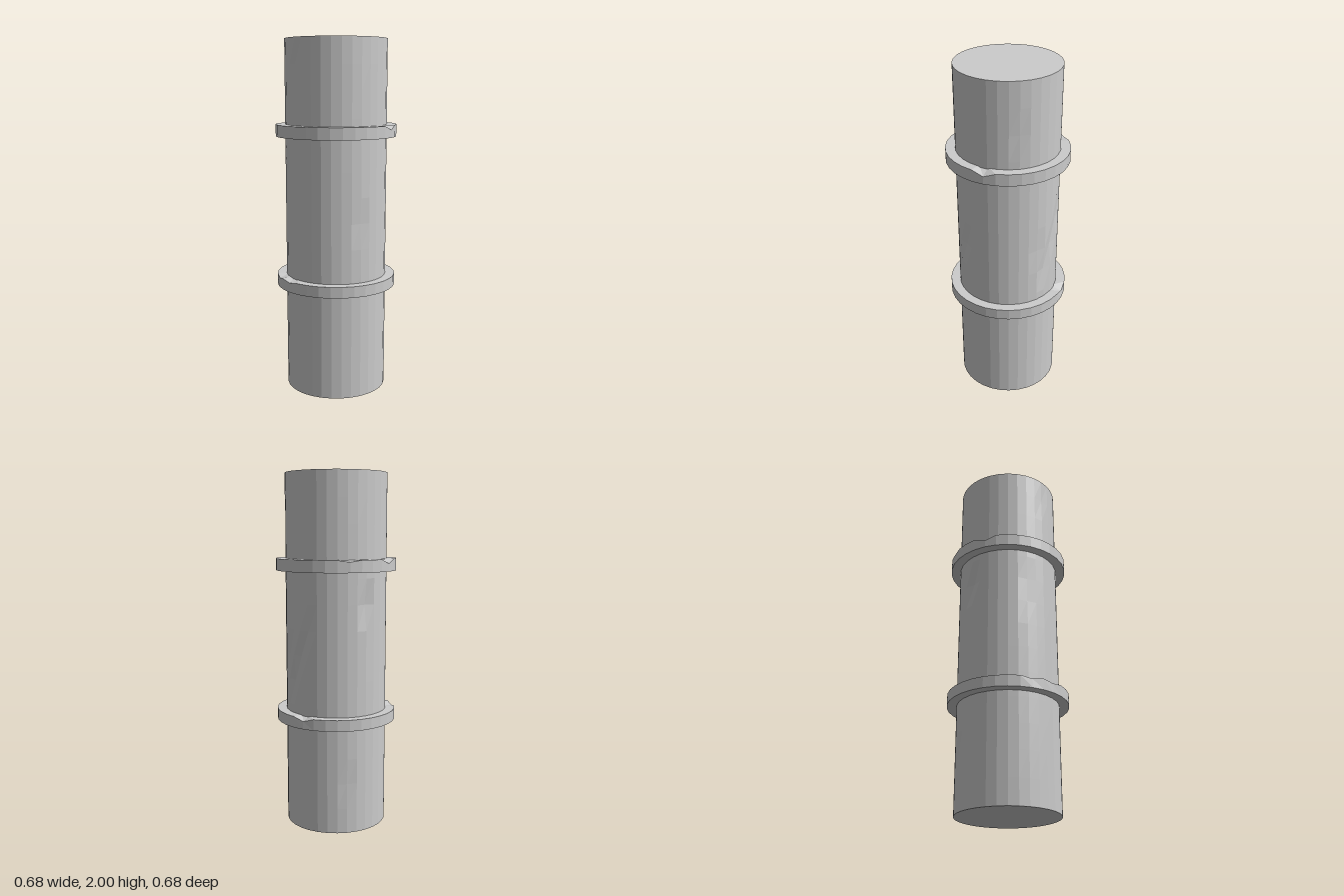
import * as THREE from 'three';

const SIDES = 32;
const RADIUS = 0.287;
const RING_RADIUS = 0.341;
const STEP = (Math.PI * 2) / SIDES;
const material = new THREE.MeshStandardMaterial({ color: 0xcccccc, flatShading: true, side: THREE.DoubleSide });

// Moves every vertex on side line j at height y inward and down; j = 0 faces front, counting towards +x.
function dent(geometry, radius, j, y, inward, down = 0) {
  const pos = geometry.attributes.position;
  const x = Math.sin(j * STEP) * radius;
  const z = Math.cos(j * STEP) * radius;
  const k = 1 - inward / radius;
  for (let i = 0; i < pos.count; i++) {
    const d = Math.hypot(pos.getX(i) - x, pos.getY(i) - y, pos.getZ(i) - z);
    if (d < 0.005) pos.setXYZ(i, x * k, y - down, z * k);
  }
}

function addMesh(group, name, geometry) {
  geometry.computeVertexNormals();
  const mesh = new THREE.Mesh(geometry, material);
  mesh.name = name;
  group.add(mesh);
}

// Flat-sided collar with chips along its upper outer edge
function makeRing(bottom, top, chips) {
  const profile = [[0.27, bottom], [RING_RADIUS, bottom], [RING_RADIUS, top], [0.27, top]];
  const geometry = new THREE.LatheGeometry(profile.map(([r, y]) => new THREE.Vector2(r, y)), SIDES);
  for (const [j, inward, down] of chips) dent(geometry, RING_RADIUS, j, top, inward, down);
  return geometry;
}

export function createModel() {
  const group = new THREE.Group();
  group.name = 'pillar';

  // Shaft, with rows of vertices that take the worn dents
  const rows = 14;
  const shaft = new THREE.CylinderGeometry(RADIUS, RADIUS, 2, SIDES, rows);
  shaft.translate(0, 1, 0);
  const dents = [
    // side line, row, depth
    [3, 7, 0.008], [26, 8, 0.006], [26, 9, 0.008],
    [11, 7, 0.006], [12, 6, 0.012], [13, 7, 0.012], [14, 8, 0.008],
    [20, 9, 0.018], [9, 12, 0.004], [18, 2, 0.004], [28, 13, 0.003],
  ];
  for (const [j, row, depth] of dents) dent(shaft, RADIUS, j, (row * 2) / rows, depth);
  addMesh(group, 'shaft', shaft);

  // Two collars around the shaft
  addMesh(group, 'lowerRing', makeRing(0.605, 0.668, [[14, 0.004, 0.02], [26, 0.004, 0.012], [28, 0.002, 0.01]]));
  addMesh(group, 'upperRing', makeRing(1.463, 1.53, [[6, 0, 0.024], [18, 0, 0.01], [22, 0, 0.024]]));

  return group;
}
